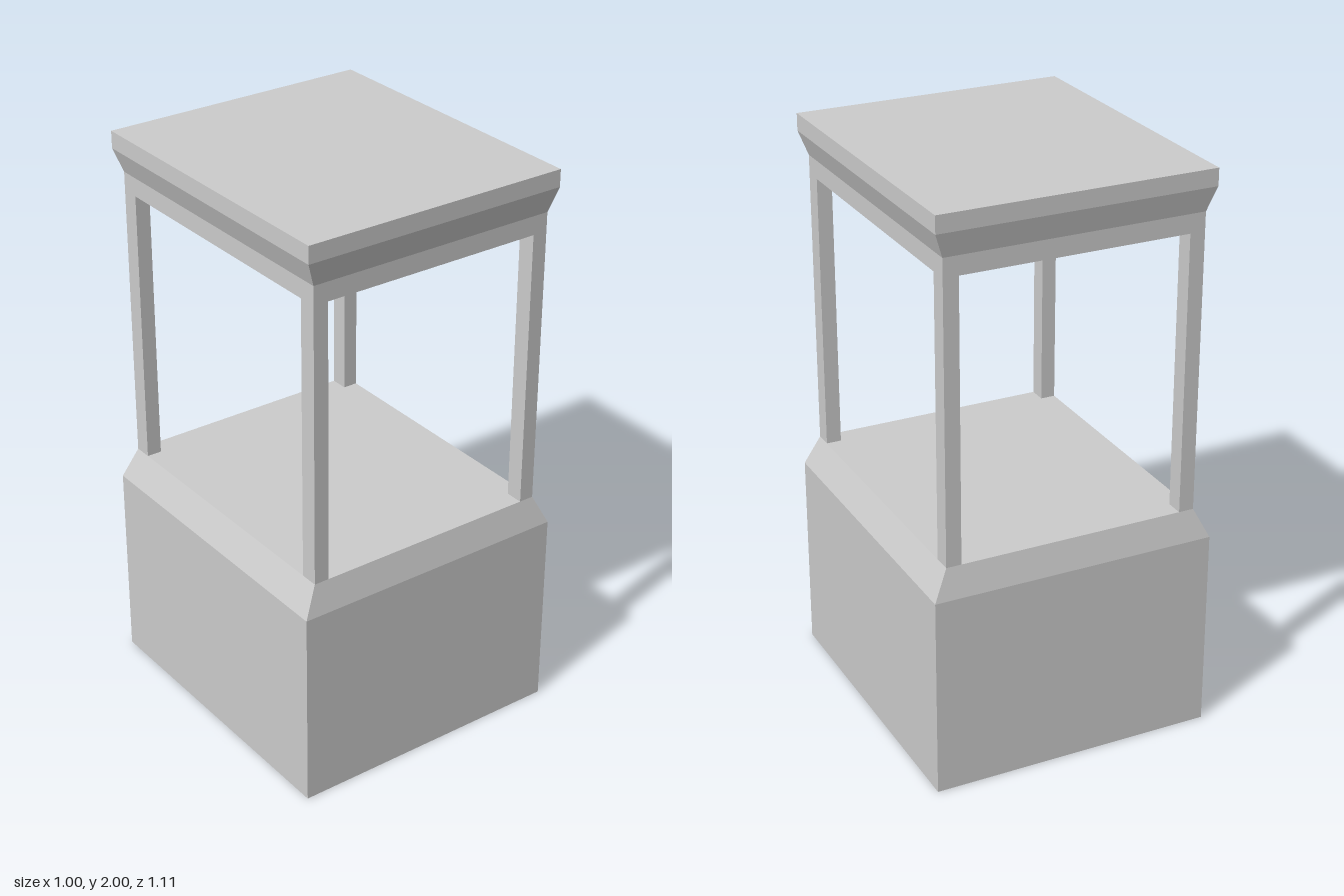
import * as THREE from 'three';

const CORNERS = [[1, 1], [1, -1], [-1, -1], [-1, 1]];

// Closed solid through rectangular sections [y, halfWidth, halfDepth], bottom to top
function loftRectangles(sections) {
  const rings = sections.map(([y, w, d]) => CORNERS.map(([sx, sz]) => [sx * w, y, sz * d]));
  const positions = [];
  const quad = (a, b, c, d) => positions.push(...a, ...b, ...c, ...a, ...c, ...d);
  for (let r = 0; r < rings.length - 1; r++) {
    for (let i = 0; i < 4; i++) {
      const j = (i + 1) % 4;
      quad(rings[r][i], rings[r][j], rings[r + 1][j], rings[r + 1][i]);
    }
  }
  quad(...[...rings[0]].reverse());
  quad(...rings[rings.length - 1]);
  const geometry = new THREE.BufferGeometry();
  geometry.setAttribute('position', new THREE.Float32BufferAttribute(positions, 3));
  geometry.computeVertexNormals();
  return geometry;
}

export function createModel() {
  const group = new THREE.Group();
  const material = new THREE.MeshStandardMaterial({ color: 0xcccccc, flatShading: true });
  const add = (name, geometry) => {
    const mesh = new THREE.Mesh(geometry, material);
    mesh.name = name;
    group.add(mesh);
    return mesh;
  };

  const baseTop = 0.815, roofBottom = 1.792;
  const frameW = 0.45, frameD = 0.528;
  const postW = 0.053, postD = 0.064;

  // Counter with a sloped shoulder
  add('base', loftRectangles([
    [0, 0.502, 0.555],
    [0.71, 0.502, 0.555],
    [baseTop, frameW, frameD],
  ]));

  // Four corner posts
  const postGeometry = new THREE.BoxGeometry(postW, roofBottom - baseTop, postD);
  for (const [sx, sz] of CORNERS) {
    const name = (sz > 0 ? 'front' : 'back') + (sx > 0 ? 'Left' : 'Right') + 'Post';
    add(name, postGeometry).position.set(
      sx * (frameW - postW / 2), (baseTop + roofBottom) / 2, sz * (frameD - postD / 2));
  }

  // Roof flaring out to a flat slab
  add('roof', loftRectangles([
    [roofBottom, frameW, frameD],
    [1.857, frameW, frameD],
    [1.94, 0.48, 0.546],
    [2, 0.48, 0.546],
  ]));

  return group;
}
